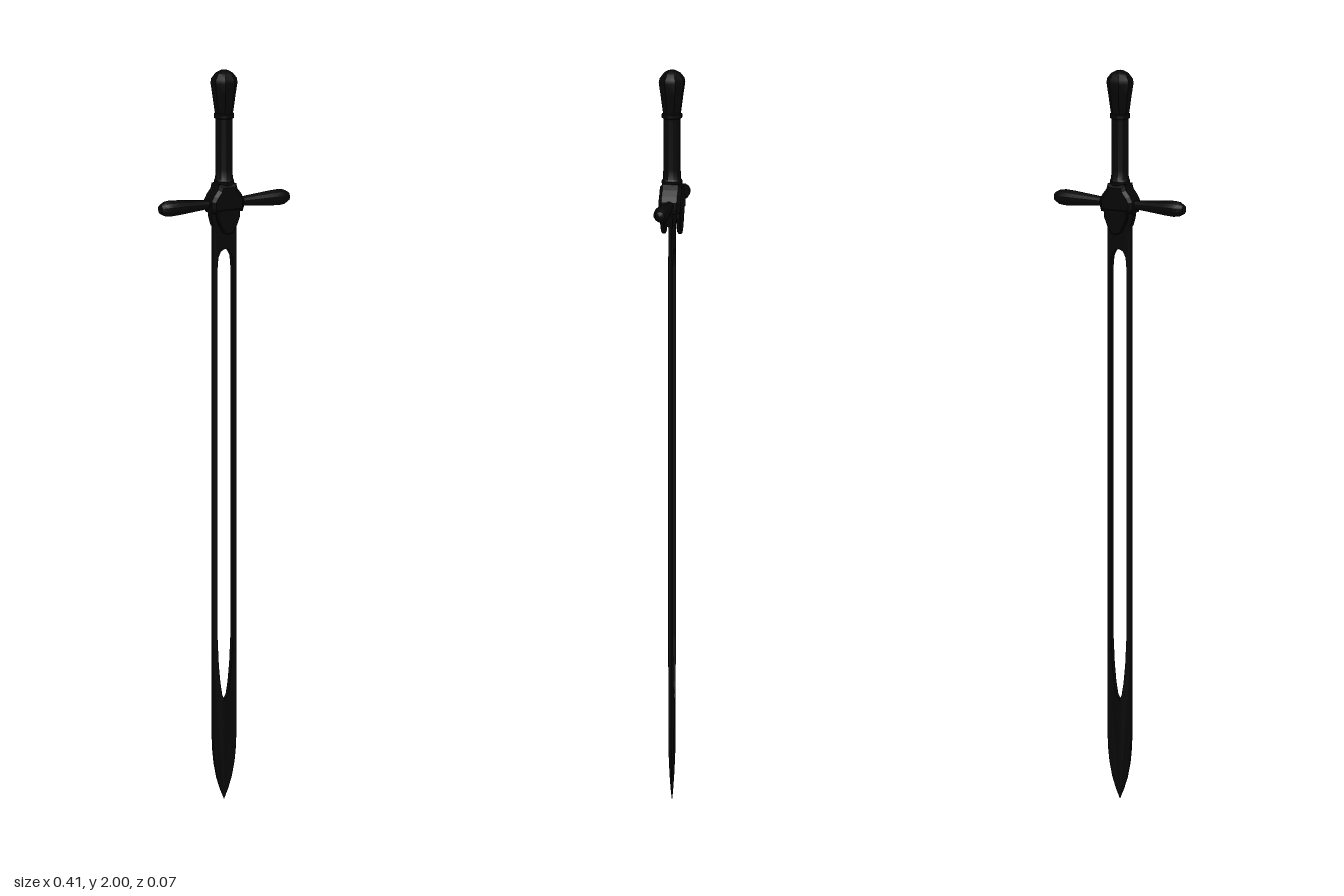
import * as THREE from 'three';
import { toCreasedNormals } from 'three/addons/utils/BufferGeometryUtils.js';

const v2 = (x, y) => new THREE.Vector2(x, y);

// Closed outline from its right half, listed bottom to top
function mirrored(half) {
  const left = half.filter(([x]) => x > 0).reverse().map(([x, y]) => [-x, y]);
  return [...half, ...left].map(([x, y]) => v2(x, y));
}

// Faceted turned part: profile of [half-width across flats, height]
function turned(profile, sides = 8) {
  const k = 1 / Math.cos(Math.PI / sides);
  const geo = new THREE.LatheGeometry(profile.map(([r, y]) => v2(r * k, y)), sides);
  geo.rotateY(Math.PI / sides);
  return toCreasedNormals(geo, 0.5);
}

// Plate centred on z = 0
function plate(shape, depth, bevel = 0) {
  const geo = new THREE.ExtrudeGeometry(shape, {
    depth: depth - 2 * bevel, bevelEnabled: bevel > 0, bevelThickness: bevel,
    bevelSize: bevel, bevelOffset: -bevel, bevelSegments: 1,
  });
  return geo.translate(0, 0, -depth / 2 + bevel);
}

export function createModel() {
  const sword = new THREE.Group();
  sword.name = 'sword';
  const black = new THREE.MeshStandardMaterial({ color: 0x060606 });
  black.name = 'black steel';
  const add = (name, geo) => {
    const mesh = new THREE.Mesh(geo, black);
    mesh.name = name;
    sword.add(mesh);
    return mesh;
  };

  // Blade with a long open slot; edges and tip are thinner than the slot rim
  const outline = mirrored([
    [0, 0], [0.012, 0.027], [0.023, 0.06], [0.031, 0.1], [0.035, 0.14], [0.037, 0.2],
    [0.037, 0.27], [0.037, 0.42], [0.037, 1.49], [0.037, 1.62],
  ]);
  const slot = mirrored([
    [0, 0.27], [0.009, 0.285], [0.015, 0.32], [0.02, 0.37], [0.0235, 0.44],
    [0.0235, 1.46], [0.021, 1.488], [0.013, 1.504], [0, 1.51],
  ]);
  const bladeShape = new THREE.Shape(outline);
  bladeShape.holes.push(new THREE.Path(slot));
  const blade = plate(bladeShape, 0.014);
  const p = blade.attributes.position;
  for (let i = 0; i < p.count; i++) {
    const x = Math.abs(p.getX(i)), y = p.getY(i);
    const half = y < 0.2 ? 0.001 + 0.02 * y : x > 0.03 ? 0.004 : 0.007;
    p.setZ(i, Math.sign(p.getZ(i)) * half);
  }
  blade.computeVertexNormals();
  add('blade', blade);

  // Guard block, chamfered front and back
  add('guardBlock', plate(new THREE.Shape(mirrored([
    [0, 1.612], [0.046, 1.612], [0.05, 1.625], [0.05, 1.645], [0.042, 1.66],
    [0.03, 1.675], [0.026, 1.69], [0, 1.69],
  ])), 0.06, 0.009));

  // Collar under the guard that holds the blade
  add('bladeCollar', plate(new THREE.Shape(mirrored([
    [0, 1.575], [0.037, 1.575], [0.043, 1.595], [0.046, 1.615], [0, 1.615],
  ])), 0.016));

  // Tongues hanging in front of and behind the blade
  const tongue = new THREE.Shape(mirrored([
    [0, 1.55], [0.014, 1.556], [0.026, 1.575], [0.036, 1.6], [0.036, 1.625], [0, 1.625],
  ]));
  for (const s of [1, -1]) {
    add(s > 0 ? 'frontTongue' : 'backTongue', plate(tongue, 0.012, 0.003)).position.z = s * 0.022;
  }

  // Cross arms swelling toward rounded ends
  const armProfile = [
    [0.012, 0.03], [0.0125, 0.06], [0.016, 0.1], [0.0195, 0.14],
    [0.021, 0.168], [0.019, 0.185], [0.012, 0.198], [0, 0.203],
  ];
  for (const s of [1, -1]) {
    const arm = turned(armProfile, 12).rotateZ(-Math.PI / 2);
    if (s < 0) arm.rotateY(Math.PI);
    add(s > 0 ? 'leftArm' : 'rightArm', arm).position.y = 1.635;
  }

  // Grip with stepped rings at its foot
  add('grip', turned([
    [0.028, 1.67], [0.028, 1.682], [0.025, 1.685], [0.027, 1.69], [0.027, 1.697],
    [0.024, 1.702], [0.0225, 1.73], [0.0225, 1.87],
  ], 12));

  // Ring below the pommel
  add('pommelRing', turned([
    [0.02, 1.866], [0.027, 1.87], [0.027, 1.88], [0.02, 1.884],
  ], 12));

  // Flared, eight-sided pommel
  add('pommel', turned([
    [0.022, 1.88], [0.024, 1.89], [0.029, 1.93], [0.034, 1.966], [0.032, 1.978],
    [0.022, 1.992], [0.01, 1.999], [0, 2],
  ]));

  return sword;
}
